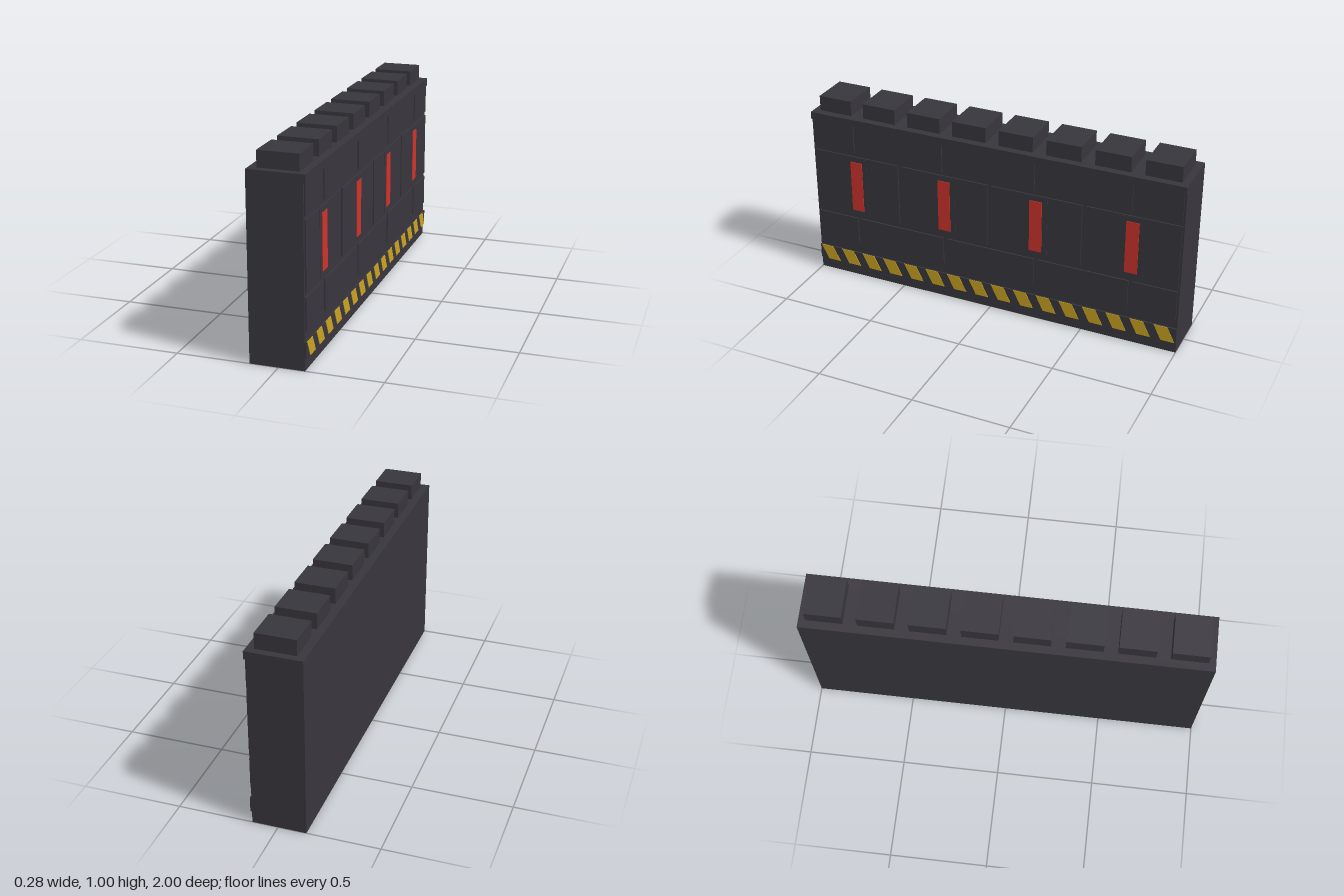
import * as THREE from 'three';

export function createModel() {
  const wall = new THREE.Group();
  wall.name = 'battlementWall';

  const material = (name, color) => {
    const m = new THREE.MeshStandardMaterial({ color });
    m.name = name;
    return m;
  };
  const darkGrey = material('dark grey', 0x38363d);
  const red = material('red', 0xcc342c);
  const yellow = material('yellow', 0xcaa222);

  // Box given by its limits on each axis
  const box = (name, mat, [x0, x1], [y0, y1], [z0, z1]) => {
    const mesh = new THREE.Mesh(new THREE.BoxGeometry(x1 - x0, y1 - y0, z1 - z0), mat);
    mesh.position.set((x0 + x1) / 2, (y0 + y1) / 2, (z0 + z1) / 2);
    mesh.name = name;
    wall.add(mesh);
  };

  // Core slab and the lip along its top edge
  const face = 0.128;
  box('wallCore', darkGrey, [-0.14, face], [0, 0.92], [-1, 1]);
  box('topLip', darkGrey, [face, 0.139], [0.88, 0.92], [-1, 1]);

  // Merlons along the top
  for (let i = 0; i < 8; i++) {
    const z = -0.875 + i * 0.25;
    box('merlon', darkGrey, [-0.1, 0.1], [0.92, 1], [z - 0.09, z + 0.09]);
  }

  // Three courses of armour panels with staggered joints
  const staggered = [-1, -0.75, -0.25, 0.25, 0.75, 1];
  const even = [-1, -0.5, 0, 0.5, 1];
  const courses = [
    { y: [0.19, 0.35], joints: staggered },
    { y: [0.37, 0.71], joints: even },
    { y: [0.73, 0.88], joints: staggered },
  ];
  for (const { y, joints } of courses) {
    for (let i = 0; i < joints.length - 1; i++) {
      box('armourPanel', darkGrey, [face, 0.135], y, [joints[i] + 0.01, joints[i + 1] - 0.01]);
    }
  }

  // Framed red light strips
  for (const z of [-0.75, -0.25, 0.25, 0.75]) {
    box('lightFrame', darkGrey, [face, 0.1365], [0.375, 0.705], [z - 0.06, z + 0.06]);
    box('lightStrip', red, [0.132, 0.14], [0.4, 0.68], [z - 0.033, z + 0.033]);
  }

  // Hazard band near the foot
  box('hazardBand', darkGrey, [face, 0.136], [0.06, 0.14], [-1, 1]);

  // Slanted stripe outline: shape x runs along -z after the turn
  const outline = new THREE.Shape([
    new THREE.Vector2(-0.055, 0.14),
    new THREE.Vector2(-0.015, 0.06),
    new THREE.Vector2(0.055, 0.06),
    new THREE.Vector2(0.015, 0.14),
  ]);
  const stripe = new THREE.ExtrudeGeometry(outline, { depth: 0.003, bevelEnabled: false });
  stripe.rotateY(Math.PI / 2);
  for (let i = 0; i < 16; i++) {
    const mesh = new THREE.Mesh(stripe, yellow);
    mesh.position.set(0.1355, 0, -0.9375 + i * 0.125);
    mesh.name = 'hazardStripe';
    wall.add(mesh);
  }

  return wall;
}
